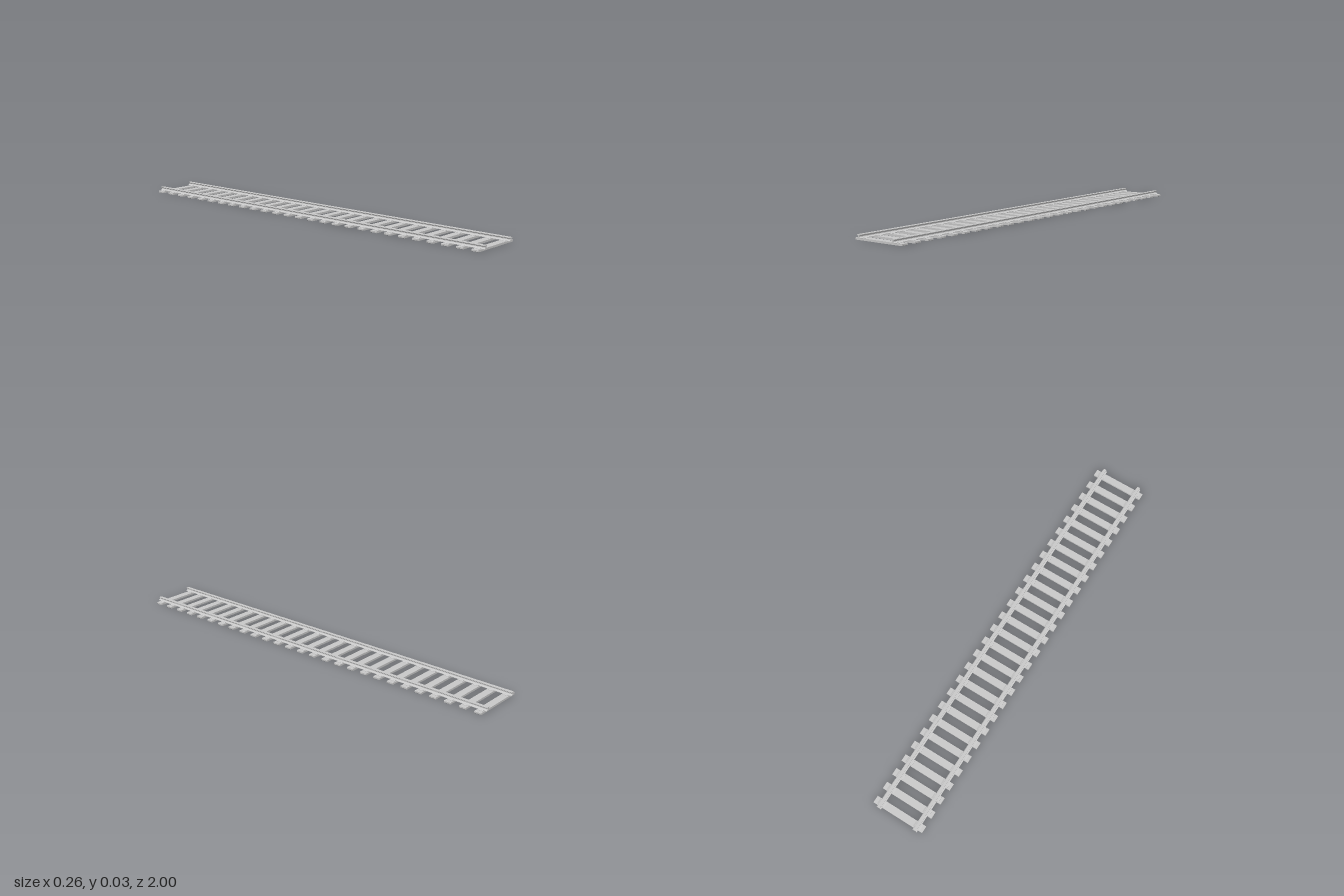
import * as THREE from 'three';

const material = new THREE.MeshStandardMaterial({ color: 0xcccccc, flatShading: true });

// Extrudes a right-half outline [x, y], mirrored about x = 0, centred along z.
function extrudeSymmetric(half, length) {
  const mirrored = half.map(([x, y]) => [-x, y]).reverse();
  const shape = new THREE.Shape([...half, ...mirrored].map(([x, y]) => new THREE.Vector2(x, y)));
  return new THREE.ExtrudeGeometry(shape, { depth: length, bevelEnabled: false })
    .translate(0, 0, -length / 2);
}

export function createModel() {
  const track = new THREE.Group();
  track.name = 'railwayTrack';
  const add = (name, geometry, x, z) => {
    const mesh = new THREE.Mesh(geometry, material);
    mesh.name = name;
    mesh.position.set(x, 0, z);
    track.add(mesh);
  };

  // Rail section: flat foot, narrow web, wide head
  const rail = extrudeSymmetric([
    [0.0115, 0.0095], [0.0115, 0.0115], [0.004, 0.0145], [0.003, 0.016],
    [0.003, 0.0195], [0.0072, 0.0225], [0.0072, 0.0258], [0.006, 0.0265],
  ], 2);
  // Sleeper with slightly chamfered edges
  const sleeper = extrudeSymmetric([
    [0.1295, 0], [0.1305, 0.001], [0.1305, 0.008], [0.1295, 0.009],
  ], 0.034);
  // Tapered plate under each rail
  const plate = extrudeSymmetric([
    [0.0185, 0.0085], [0.0185, 0.0105], [0.012, 0.0125],
  ], 0.025);

  const railX = { leftRail: 0.094, rightRail: -0.098 };
  for (const [name, x] of Object.entries(railX)) add(name, rail, x, 0);

  // Evenly spaced sleepers with a plate under each rail
  const count = 27, spacing = 0.0747;
  for (let i = 0; i < count; i++) {
    const z = (i - (count - 1) / 2) * spacing - 0.002;
    add('sleeper', sleeper, 0, z);
    for (const x of Object.values(railX)) add('railPlate', plate, x, z);
  }
  return track;
}
